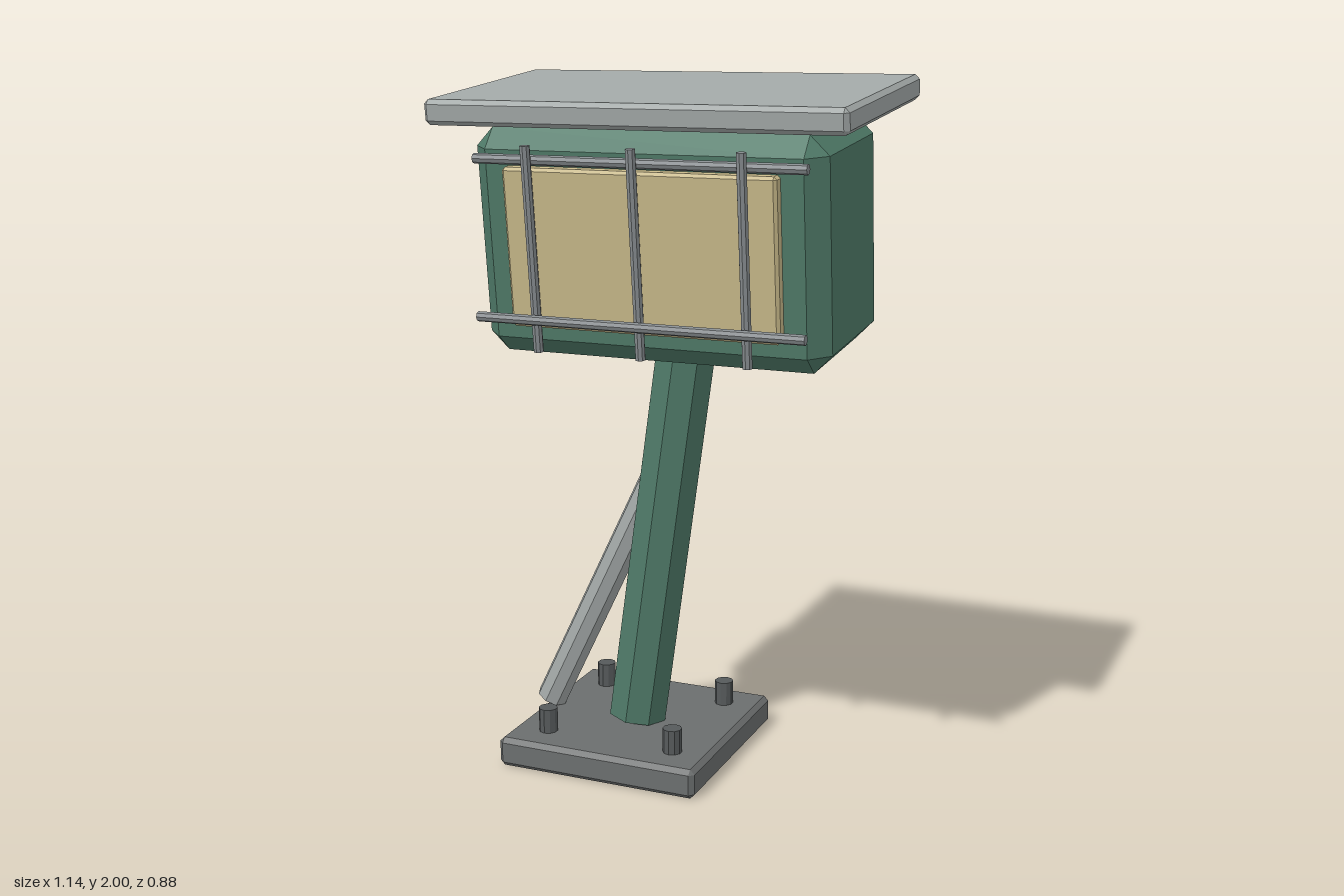
import * as THREE from 'three';
import { ConvexGeometry } from 'three/addons/geometries/ConvexGeometry.js';

const paint = (color) => new THREE.MeshStandardMaterial({ color, flatShading: true });
const green = paint(0x4f7a68), tan = paint(0xc8b98a), pale = paint(0xa2a8a7);
const plate = paint(0x6b6e6e), dark = paint(0x565a5b), steel = paint(0x868b8e);

// Box with every edge and corner cut by a flat chamfer c
function chamferBox(w, h, d, c) {
  const pts = [];
  for (const x of [-1, 1]) for (const y of [-1, 1]) for (const z of [-1, 1])
    for (let full = 0; full < 3; full++) {
      const half = [w, h, d].map((s, i) => s / 2 - (i === full ? 0 : c));
      pts.push(new THREE.Vector3(x * half[0], y * half[1], z * half[2]));
    }
  return new ConvexGeometry(pts);
}

function add(parent, name, geometry, material, x = 0, y = 0, z = 0) {
  const mesh = new THREE.Mesh(geometry, material);
  mesh.name = name;
  mesh.position.set(x, y, z);
  parent.add(mesh);
  return mesh;
}

// Straight rod between two points
function rod(parent, name, a, b, radius, sides, material) {
  const from = new THREE.Vector3(...a), to = new THREE.Vector3(...b);
  const mesh = add(parent, name, new THREE.CylinderGeometry(radius, radius, from.distanceTo(to), sides), material);
  mesh.position.copy(from).lerp(to, 0.5);
  mesh.quaternion.setFromUnitVectors(new THREE.Vector3(0, 1, 0), to.sub(from).normalize());
  return mesh;
}

export function createModel() {
  const model = new THREE.Group();
  model.name = 'lampBoxOnPost';
  const tilt = 0.1, baseX = -0.24, baseZ = -0.13;

  // Foot plate with four bolts
  add(model, 'basePlate', chamferBox(0.62, 0.088, 0.62, 0.014), plate, baseX, 0.044, baseZ);
  for (const sx of [-1, 1]) for (const sz of [-1, 1])
    add(model, 'bolt', new THREE.CylinderGeometry(0.028, 0.028, 0.09, 10), dark,
      baseX + sx * 0.2, 0.115, baseZ + sz * 0.2);

  // Leaning post and its side brace
  rod(model, 'post', [baseX, 0.1, baseZ], [-0.053, 1.425, baseZ], 0.09, 8, green);
  rod(model, 'brace', [-0.53, 0.107, baseZ], [-0.163, 0.868, baseZ], 0.047, 8, pale);

  // Housing pitched forward, with front panel and upright guard bars
  const head = new THREE.Group();
  head.name = 'head';
  head.position.set(0, 1.586, 0.114);
  head.rotation.x = tilt;
  model.add(head);
  add(head, 'housing', chamferBox(0.97, 0.6, 0.45, 0.05), green);
  add(head, 'frontPanel', chamferBox(0.75, 0.42, 0.06, 0.008), tan, 0, 0, 0.227);
  for (const x of [-0.293, 0, 0.293])
    rod(head, 'uprightBar', [x, -0.27, 0.271], [x, 0.27, 0.271], 0.0135, 8, steel);

  // Level cross bars of the guard
  for (const y of [1.378, 1.79])
    rod(model, 'crossBar', [-0.455, y, 0.384], [0.455, y, 0.384], 0.0135, 8, steel);

  // Overhanging roof slab
  add(model, 'roof', chamferBox(1.14, 0.066, 0.615, 0.012), pale, 0, 1.936, 0.133).rotation.x = tilt;

  return model;
}
